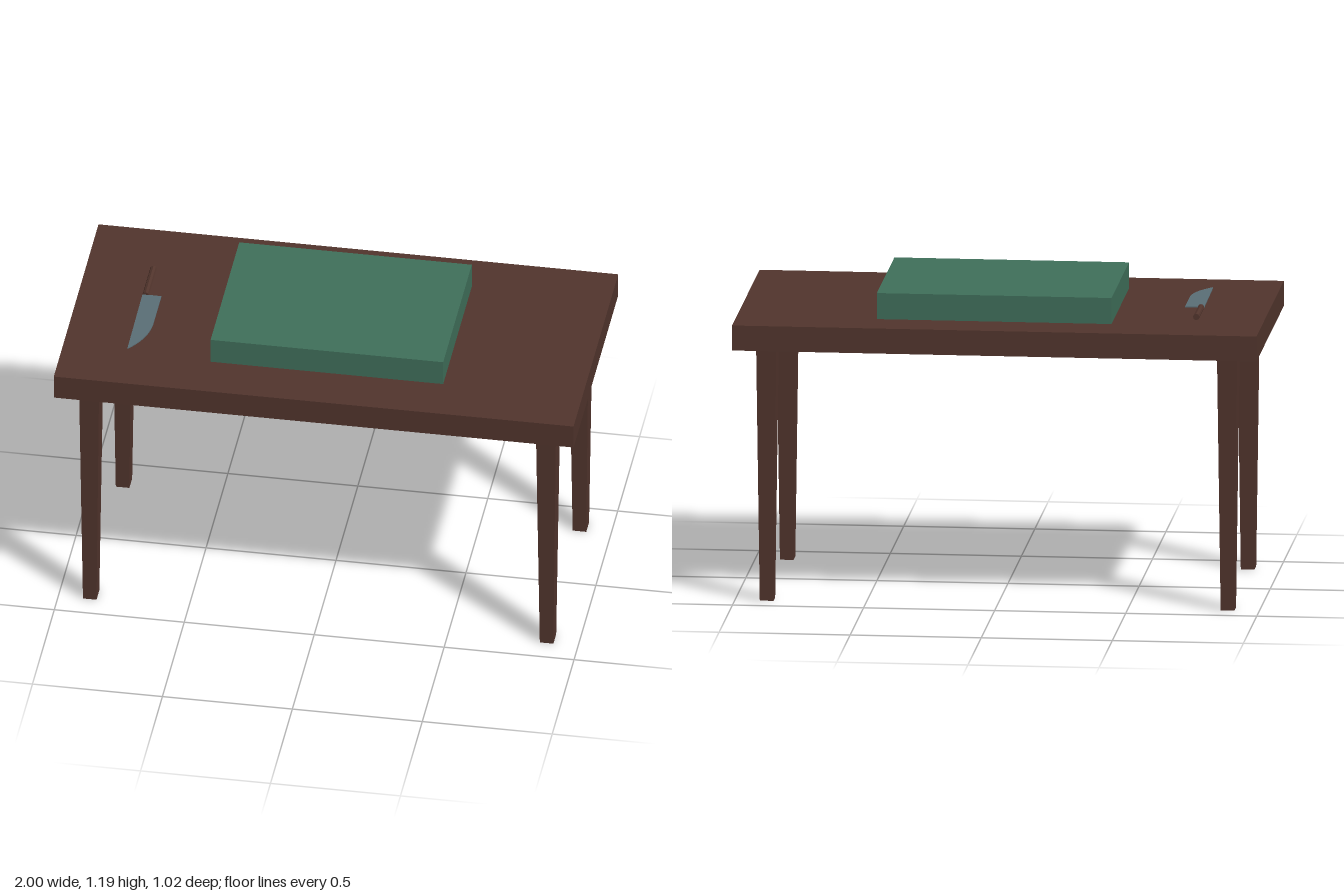
import * as THREE from 'three';

const mat = (name, color) => {
  const m = new THREE.MeshStandardMaterial({ color });
  m.name = name;
  return m;
};

export function createModel() {
  const wood = mat('dark wood', 0x52352d);
  const green = mat('board green', 0x40705b);
  const steel = mat('blade steel', 0x5b6f77);

  const model = new THREE.Group();
  model.name = 'tableWithBoardAndKnife';
  const add = (parent, name, geometry, material, x = 0, y = 0, z = 0) => {
    const mesh = new THREE.Mesh(geometry, material);
    mesh.name = name;
    mesh.position.set(x, y, z);
    parent.add(mesh);
    return mesh;
  };

  // Table top and the thick cutting board on it
  add(model, 'tableTop', new THREE.BoxGeometry(2, 0.097, 1.024), wood, 0, 1.0385, 0);
  add(model, 'cuttingBoard', new THREE.BoxGeometry(0.895, 0.101, 0.656), green, 0.018, 1.1375, -0.012);

  // Tapered rectangular legs: narrow the bottom vertices of a box
  const leg = new THREE.BoxGeometry(0.077, 0.99, 0.096);
  const p = leg.attributes.position;
  for (let i = 0; i < p.count; i++) {
    if (p.getY(i) < 0) {
      p.setX(i, p.getX(i) * 0.68);
      p.setZ(i, p.getZ(i) * 0.67);
    }
  }
  leg.computeVertexNormals();
  for (const x of [-1, 1]) {
    for (const z of [-1, 1]) {
      add(model, `${z > 0 ? 'front' : 'back'}${x > 0 ? 'Left' : 'Right'}Leg`,
        leg, wood, x * 0.879, 0.495, z * 0.376);
    }
  }

  // Knife: faceted handle, and a flat blade with a curved edge and pointed tip
  const knife = new THREE.Group();
  knife.name = 'knife';
  model.add(knife);
  const handle = new THREE.CylinderGeometry(0.0125, 0.0125, 0.18, 8).toNonIndexed();
  handle.rotateX(Math.PI / 2);
  handle.computeVertexNormals();
  add(knife, 'knifeHandle', handle, wood, -0.7425, 1.1, -0.15);

  const outline = new THREE.Shape();
  outline.moveTo(-0.755, -0.063);
  outline.lineTo(-0.682, -0.06);
  outline.lineTo(-0.682, 0.13);
  outline.bezierCurveTo(-0.686, 0.2, -0.71, 0.25, -0.752, 0.302);
  outline.closePath();
  const blade = new THREE.ExtrudeGeometry(outline, { depth: 0.004, bevelEnabled: false, curveSegments: 8 });
  blade.rotateX(Math.PI / 2);
  add(knife, 'knifeBlade', blade, steel, 0, 1.102, 0);

  return model;
}
